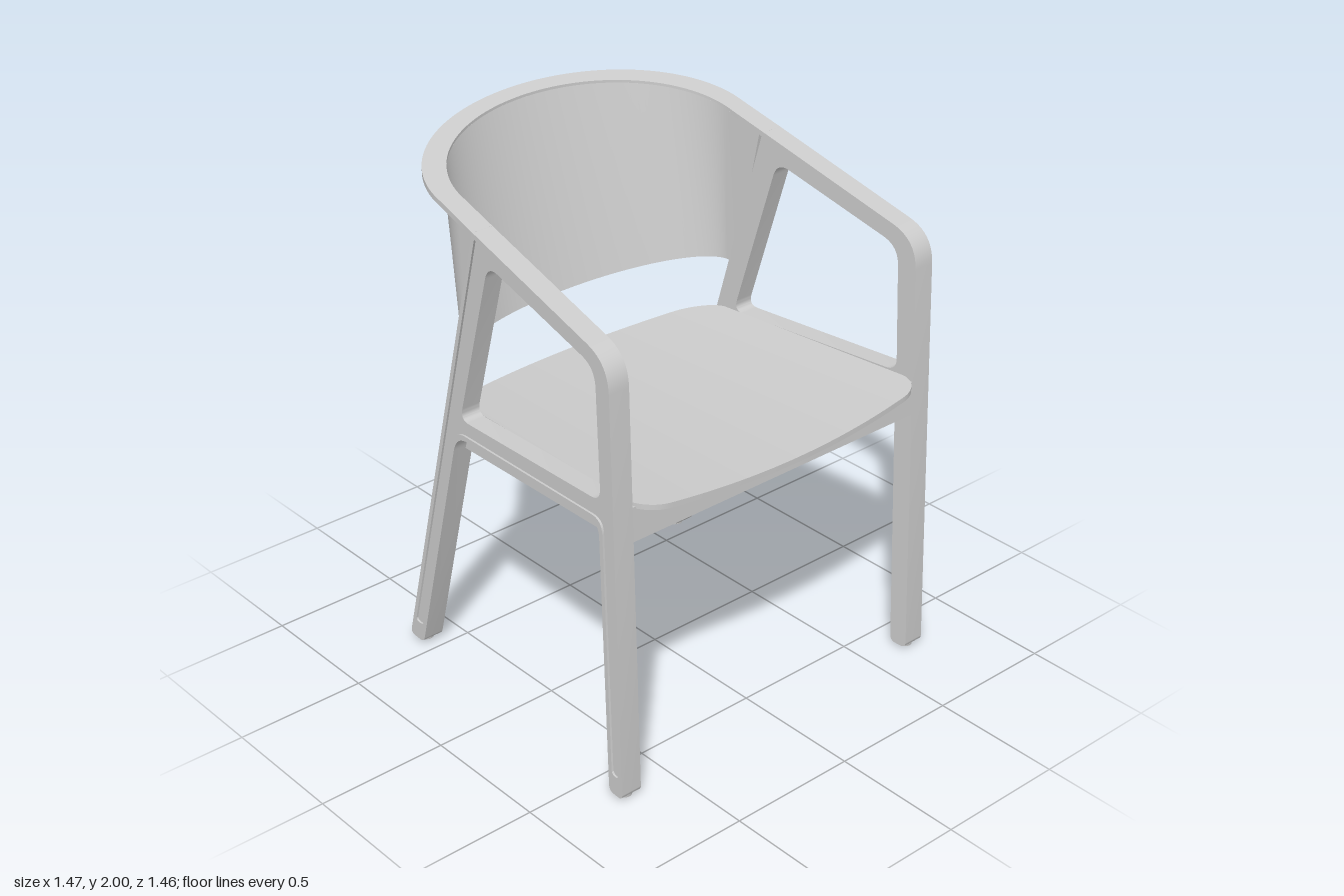
import * as THREE from 'three';
import { toCreasedNormals } from 'three/addons/utils/BufferGeometryUtils.js';

const W = 0.083;                                   // thickness of the side frames
const frameX = z => 0.658 + 0.052 * z;             // side frames splay out to the front
const innerX = z => frameX(z) - W / 2;
const armY = z => 1.815 - 0.255 * z;               // sloping plane of the arms and back rail
const seatY = (u, z) => 1.068 + 0.045 * z + 0.035 * u * u;

export function createModel() {
  const model = new THREE.Group();
  const material = new THREE.MeshStandardMaterial({ color: 0xcccccc });
  const add = (geometry, name, parent = model) => {
    const mesh = new THREE.Mesh(toCreasedNormals(geometry, 0.5), material);
    mesh.name = name;
    parent.add(mesh);
    return mesh;
  };

  // Closed outline with softened corners from [x, y, cornerLength]
  const rounded = (pts, path = new THREE.Shape()) => {
    pts.forEach(([x, y, r], i) => {
      const c = new THREE.Vector2(x, y);
      const toward = q => new THREE.Vector2(q[0], q[1]).sub(c).setLength(r).add(c);
      const a = toward(pts[(i + pts.length - 1) % pts.length]);
      const b = toward(pts[(i + 1) % pts.length]);
      if (i) path.lineTo(a.x, a.y); else path.moveTo(a.x, a.y);
      path.quadraticCurveTo(c.x, c.y, b.x, b.y);
    });
    path.closePath();
    return path;
  };
  // Clockwise outline with a hole, which runs the other way round
  const withHole = (outer, hole) => {
    const shape = rounded(outer);
    shape.holes.push(rounded([...hole].reverse(), new THREE.Path()));
    return shape;
  };

  // Moves every edge of a clockwise outline inward by d
  const inset = (pts, d) => pts.map(([x, y, r], i) => {
    const p = pts[(i + pts.length - 1) % pts.length], q = pts[(i + 1) % pts.length];
    const n1 = new THREE.Vector2(y - p[1], p[0] - x).normalize();
    const n2 = new THREE.Vector2(q[1] - y, x - q[0]).normalize();
    const k = d / (1 + n1.dot(n2));
    return [x + k * (n1.x + n2.x), y + k * (n1.y + n2.y), r > 0.03 ? r : Math.min(r, 0.02)];
  });

  // Solid through a row of cross-sections, each a ring of points
  const loft = sections => {
    const tris = [], n = sections[0].length;
    for (let i = 0; i + 1 < sections.length; i++) {
      const A = sections[i], B = sections[i + 1];
      for (let j = 0; j < n; j++) {
        const k = (j + 1) % n;
        tris.push([A[j], B[j], B[k]], [A[j], B[k], A[k]]);
      }
    }
    const S = sections[0], E = sections[sections.length - 1];
    for (let j = 1; j + 1 < n; j++) tris.push([S[0], S[j], S[j + 1]], [E[0], E[j + 1], E[j]]);
    const vec = p => new THREE.Vector3(...p);
    const volume = tris.reduce((v, t) => v + vec(t[0]).dot(vec(t[1]).cross(vec(t[2]))), 0);
    if (volume < 0) tris.forEach(t => t.reverse());
    const g = new THREE.BufferGeometry();
    g.setAttribute('position', new THREE.Float32BufferAttribute(tris.flat(2), 3));
    g.computeVertexNormals();
    return g;
  };

  // Side frame outline in (-z, y): legs, arm and stretcher in one loop
  const outline = y => [
    [0.671 - 0.035 * y, y, 0.025], [0.613, 1.659, 0.11], [-0.114, 1.844, 0.005],
    [-0.633 + 0.282 * y, y, 0.025], [-0.546 + 0.28 * y, y, 0.025],
    [-0.26, 1.02, 0.07], [0.555, 1.057, 0.055], [0.597 - 0.04 * y, y, 0.025],
  ].map(([z, h, r]) => [-z, h, r]);
  const windowPts = [
    [0.535, 1.61, 0.07], [-0.04, 1.75, 0.06], [-0.24, 1.09, 0.05], [0.557, 1.135, 0.05],
  ].map(([z, h, r]) => [-z, h, r]);
  const panelPts = inset(outline(0.07), 0.018);

  // Extrudes a side outline and shears it to the splay of side s
  const sideSlab = (shape, s, x0, x1) => {
    const g = new THREE.ExtrudeGeometry(shape, { depth: x1 - x0, bevelEnabled: false, curveSegments: 10 });
    g.rotateY(Math.PI / 2);
    const p = g.attributes.position;
    const start = s > 0 ? x0 : -x1;
    for (let i = 0; i < p.count; i++) p.setX(i, p.getX(i) + start + s * frameX(p.getZ(i)));
    g.computeVertexNormals();
    return g;
  };

  for (const s of [1, -1]) {
    const side = new THREE.Group();
    side.name = s > 0 ? 'leftSideFrame' : 'rightSideFrame';
    model.add(side);

    // Raised border and slightly recessed outer panel
    add(sideSlab(withHole(outline(0.012), panelPts), s, -W / 2, W / 2), 'frameBorder', side);
    add(sideSlab(withHole(panelPts, windowPts), s, -W / 2, W / 2 - 0.008), 'framePanel', side);

    // Foot glides
    for (const z of [0.631, -0.585]) {
      const glide = add(new THREE.CylinderGeometry(0.028, 0.025, 0.024, 20), 'footGlide', side);
      glide.position.set(s * frameX(z), 0.012, z);
    }

    // Side apron along the frame and a bearer under the seat
    const bar = xs => [0.57, -0.3].map(z => {
      const [a, b] = xs(z);
      const low = 0.958 + 0.055 * z;
      const top = x => seatY(x / innerX(z), z) - 0.012;
      return [[s * a, low, z], [s * b, low, z], [s * b, top(b), z], [s * a, top(a), z]];
    });
    add(loft(bar(z => [innerX(z) - 0.006, innerX(z) + 0.03])), 'sideApron', side);
    add(loft(bar(() => [0.39, 0.455])), 'seatBearer', side);
  }

  // Cross rails, flush with the legs, their tops following the seat
  const rail = (zOut, zIn, low) => loft(Array.from({ length: 17 }, (_, i) => {
    const u = i / 8 - 1;
    const at = (zLine, y) => {
      const z = zLine(y);
      return [u * (innerX(z) + 0.01), y, z];
    };
    const high = seatY(u, zOut(1.05)) - 0.012;
    return [at(zOut, low), at(zOut, high), at(zIn, high), at(zIn, low)];
  }));
  add(rail(y => 0.67 - 0.035 * y, y => 0.597 - 0.04 * y, 0.99), 'frontRail');
  add(rail(y => -0.632 + 0.282 * y, y => -0.546 + 0.28 * y, 0.94), 'rearRail');

  // Dished seat with rounded corners
  const corner = (a, from) => 1 - Math.sqrt(1 - Math.max(0, (a - from) / (1 - from)) ** 2);
  const seatSections = Array.from({ length: 65 }, (_, i) => {
    const u = Math.sin((i / 32 - 1) * Math.PI / 2), a = Math.abs(u);
    const zf = 0.725 - 0.045 * u * u - 0.1 * corner(a, 0.83);
    const zb = -0.472 + 0.1 * u * u + 0.09 * corner(a, 0.75);
    const at = (z, drop) => [u * innerX(z), seatY(u, z) - drop, z];
    return [at(zf, 0), at(zb, 0), at(zb, 0.02), at(zf, 0.02)];
  });
  add(loft(seatSections), 'seat');

  // Curved backrest shell, leaning outward toward the top, its ends let into the frames
  const N = 64, inner = { x: 0.602, z: 0.27, depth: 0.402 };
  const shellPoint = (i, top, off) => {
    if (i < 0 || i > N) {
      const z = top ? -0.13 : -0.24;
      return [(i < 0 ? 1 : -1) * (innerX(z) + 0.001 + off), top ? armY(z) - 0.01 : 1.29, z];
    }
    const th = Math.PI * i / N;
    const z = -inner.z - ((top ? inner.depth : 0.203) + off) * Math.sin(th);
    return [(inner.x + off) * Math.cos(th), top ? armY(z) - 0.01 : 1.29, z];
  };
  add(loft(Array.from({ length: N + 3 }, (_, k) => [
    shellPoint(k - 1, false, 0), shellPoint(k - 1, true, 0),
    shellPoint(k - 1, true, 0.014), shellPoint(k - 1, false, 0.014),
  ])), 'backrest');

  // Flat back rail on top, running into the arms
  const plan = new THREE.Shape();
  const zJoin = -0.11, outerJoin = frameX(zJoin) + W / 2;
  plan.moveTo(outerJoin, -zJoin);
  plan.lineTo(0.682, 0.3);
  plan.absellipse(0, 0.3, 0.682, 0.43, 0, Math.PI, false);
  plan.lineTo(-outerJoin, -zJoin);
  plan.lineTo(-innerX(zJoin), -zJoin);
  plan.absellipse(0, inner.z, inner.x, inner.depth, Math.PI, 0, true);
  plan.lineTo(innerX(zJoin), -zJoin);
  plan.closePath();
  const railGeo = new THREE.ExtrudeGeometry(plan, { depth: 0.02, bevelEnabled: false, curveSegments: 64 });
  railGeo.rotateX(-Math.PI / 2);
  const p = railGeo.attributes.position;
  for (let i = 0; i < p.count; i++) p.setY(i, p.getY(i) + armY(p.getZ(i)) - 0.02);
  railGeo.computeVertexNormals();
  add(railGeo, 'backRail');

  return model;
}
